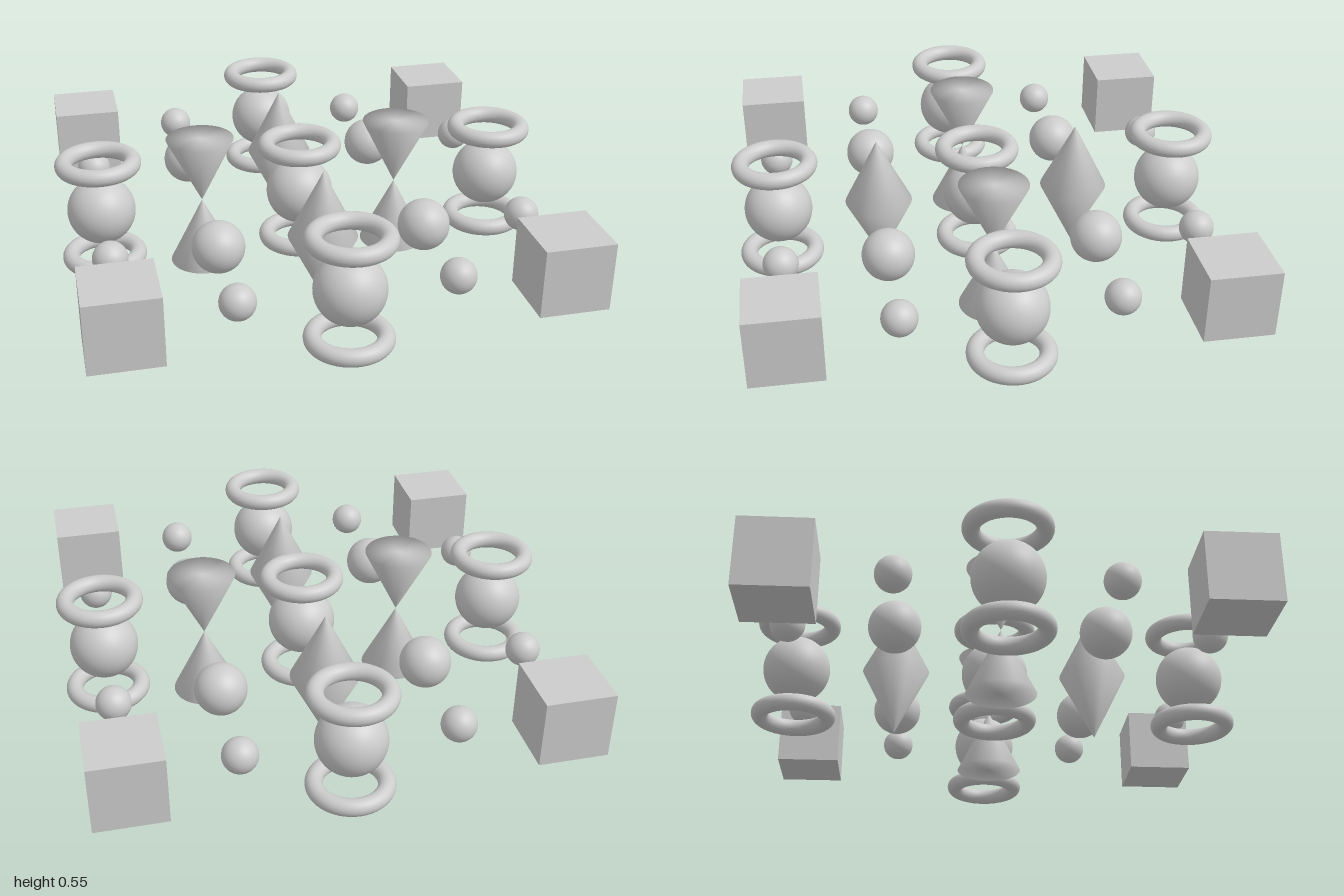
import * as THREE from 'three';

const U = 1 / 29;      // base unit
const STEP = 12;       // grid spacing, in units
const MID = 8;         // height of the middle plane, in units

export function createModel() {
  const group = new THREE.Group();
  const material = new THREE.MeshStandardMaterial({ color: 0xcccccc });

  // Shared shapes, sized in units
  const cube = new THREE.BoxGeometry(8 * U, 8 * U, 8 * U);
  const largeBall = new THREE.SphereGeometry(4 * U, 48, 32);
  const mediumBall = new THREE.SphereGeometry(3 * U, 48, 32);
  const smallBall = new THREE.SphereGeometry(2 * U, 32, 24);
  const ring = new THREE.TorusGeometry(4 * U, U, 24, 64).rotateX(Math.PI / 2);
  // Closed cone with its base at y = 0 and softly shaded rim
  const coneUp = new THREE.LatheGeometry(
    [[0, 0], [4, 0], [0, 8]].map(([x, y]) => new THREE.Vector2(x * U, y * U)), 48);
  const coneDown = coneUp.clone().rotateX(Math.PI);

  // Places a shape on grid cell (i, j), dy units from the middle plane
  function place(name, geometry, i, j, dy = 0) {
    const mesh = new THREE.Mesh(geometry, material);
    mesh.name = name;
    mesh.position.set(i * STEP * U, (MID + dy) * U, j * STEP * U);
    group.add(mesh);
  }

  for (let i = -2; i <= 2; i++) {
    for (let j = -2; j <= 2; j++) {
      const a = Math.abs(i), b = Math.abs(j);
      if (a === 2 && b === 2) {
        place('cornerCube', cube, i, j);
      } else if (a === 1 && b === 1) {
        place('mediumBall', mediumBall, i, j);
      } else if (a + b === 3) {
        place('smallBall', smallBall, i, j);
      } else if (a === 1) {
        // Hourglass: two cones meeting at their tips
        place('hourglassLowerCone', coneUp, i, j, -8);
        place('hourglassUpperCone', coneDown, i, j, 8);
      } else if (b === 1) {
        // Spindle: two cones meeting at their bases
        place('spindleUpperCone', coneUp, i, j);
        place('spindleLowerCone', coneDown, i, j);
      } else {
        // Large ball between two floating rings
        place('largeBall', largeBall, i, j);
        place('upperRing', ring, i, j, 6);
        place('lowerRing', ring, i, j, -6);
      }
    }
  }
  return group;
}
